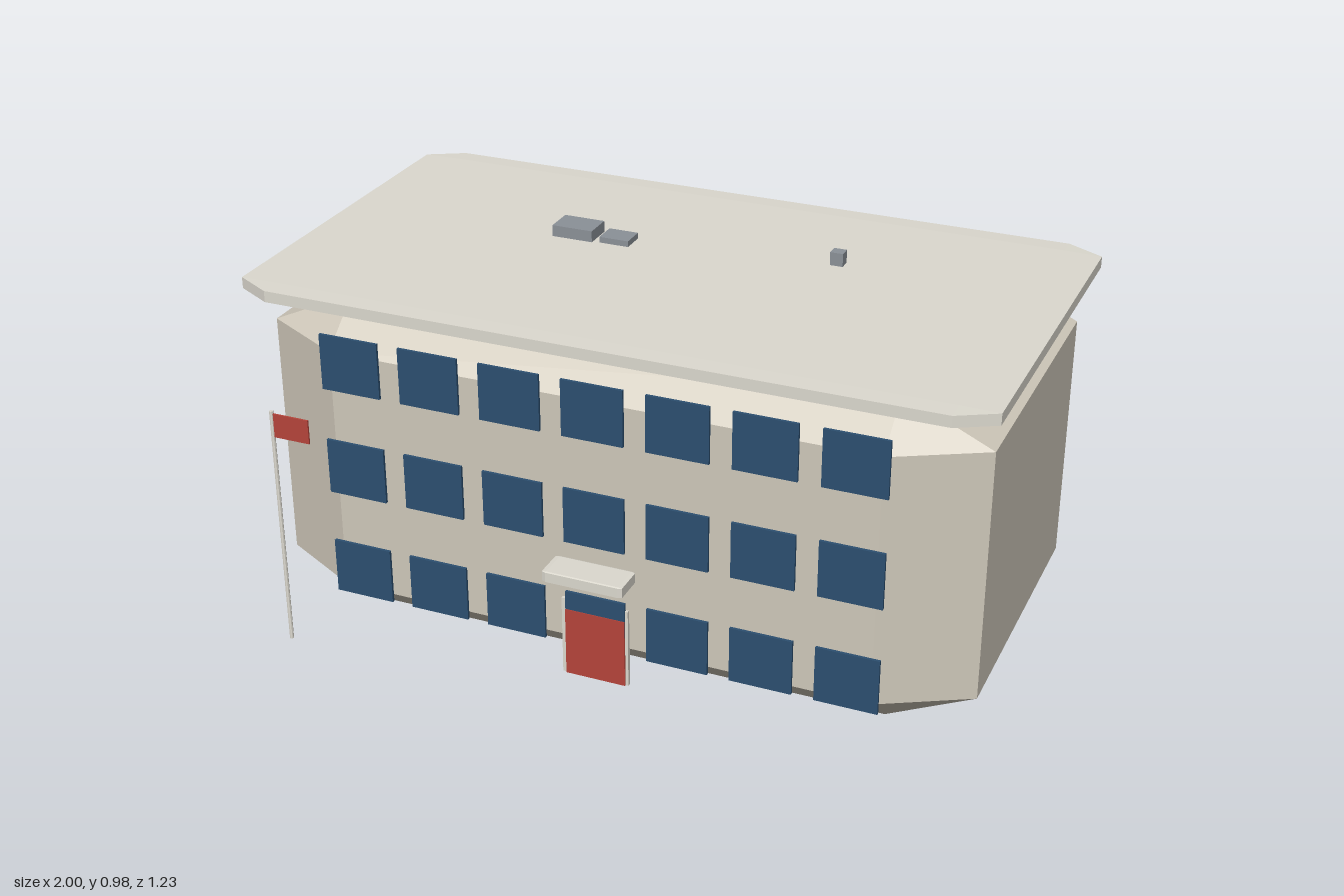
import * as THREE from 'three';
import { ConvexGeometry } from 'three/addons/geometries/ConvexGeometry.js';

const paint = (color) => new THREE.MeshStandardMaterial({ color, flatShading: true });

// Box from min to max with every edge cut back by a fraction of the half size
function chamferedBox(min, max, cut) {
  const c = min.map((v, i) => (v + max[i]) / 2);
  const h = min.map((v, i) => (max[i] - v) / 2);
  const points = [];
  for (let axis = 0; axis < 3; axis++)
    for (const sx of [-1, 1]) for (const sy of [-1, 1]) for (const sz of [-1, 1]) {
      const p = [sx, sy, sz].map((s, i) => c[i] + s * h[i] * (i === axis ? 1 : 1 - cut));
      points.push(new THREE.Vector3(...p));
    }
  return new ConvexGeometry(points);
}

function plainBox(min, max) {
  const g = new THREE.BoxGeometry(...max.map((v, i) => v - min[i]));
  return g.translate(...max.map((v, i) => (v + min[i]) / 2));
}

export function createModel() {
  const model = new THREE.Group();
  model.name = 'building';
  const wall = paint(0xcfc8ba), trim = paint(0xdcd9cf), glass = paint(0x2c4f70);
  const red = paint(0xb5443a), metal = paint(0x8b9198);

  const add = (name, geometry, material, parent = model) => {
    const mesh = new THREE.Mesh(geometry, material);
    mesh.name = name;
    parent.add(mesh);
    return mesh;
  };

  // Main block and overhanging roof slab
  add('body', chamferedBox([-0.97, 0, -0.586], [0.97, 0.902, 0.464], 0.24), wall);
  add('roof', chamferedBox([-1, 0.912, -0.612], [1, 0.946, 0.489], 0.1), trim);

  // Three storeys of seven windows
  const windows = new THREE.Group();
  windows.name = 'windows';
  model.add(windows);
  for (let row = 0; row < 3; row++)
    for (let col = -3; col <= 3; col++) {
      const x = col * 0.225, y = 0.09 + row * 0.3;
      add('window', plainBox([x - 0.083, y, 0.467], [x + 0.083, y + 0.154, 0.475]), glass, windows);
    }

  // Entrance: frame panel, door and canopy
  add('doorFrame', plainBox([-0.094, 0, 0.462], [0.091, 0.222, 0.473]), trim);
  add('door', plainBox([-0.083, 0, 0.466], [0.083, 0.192, 0.477]), red);
  add('canopy', chamferedBox([-0.11, 0.31, 0.463], [0.11, 0.34, 0.553], 0.1), trim);

  // Flagpole with flag
  const pole = add('flagpole', new THREE.CylinderGeometry(0.0055, 0.0055, 0.676, 8), trim);
  pole.position.set(-0.828, 0.338, 0.611);
  add('flag', plainBox([-0.823, 0.603, 0.608], [-0.722, 0.669, 0.613]), red);

  // Rooftop equipment
  add('roofUnitLarge', plainBox([-0.385, 0.944, -0.205], [-0.27, 0.977, -0.124]), metal);
  add('roofUnitSmall', plainBox([-0.251, 0.944, -0.197], [-0.168, 0.962, -0.131]), metal);
  add('roofVent', plainBox([0.363, 0.944, -0.255], [0.398, 0.982, -0.223]), metal);

  return model;
}
